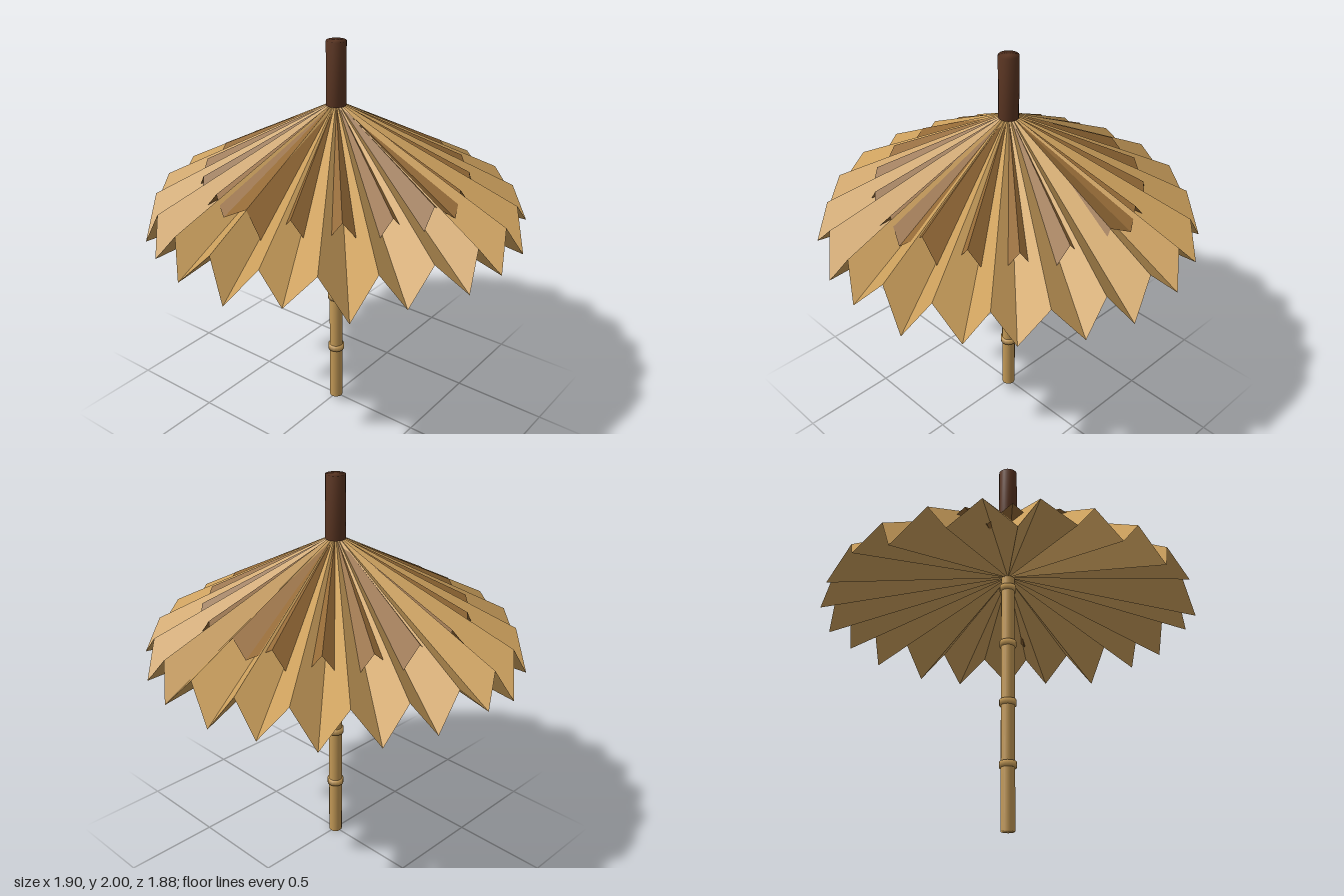
import * as THREE from 'three';
import { mergeVertices } from 'three/addons/utils/BufferGeometryUtils.js';

const mat = (name, color) => {
  const m = new THREE.MeshStandardMaterial({ color });
  m.name = name;
  return m;
};

// Cylinder with normals blended over its rims
function softCylinder(radius, height) {
  const g = new THREE.CylinderGeometry(radius, radius, height, 16);
  g.deleteAttribute('normal');
  g.deleteAttribute('uv');
  const merged = mergeVertices(g);
  merged.computeVertexNormals();
  return merged;
}

// Closed pleated cone: ridges at half steps, drooping tips at whole steps.
// shifts are tip angle changes in degrees, tipY the tip heights.
function pleatedCone({ count, apexY, underY, ridgeR, ridgeY, tipR, tipY, shifts = [] }) {
  const rim = [];
  const step = 360 / count;
  const at = (deg, r, y) => {
    const a = THREE.MathUtils.degToRad(deg);
    return [Math.cos(a) * r, y, Math.sin(a) * r];
  };
  for (let i = 0; i < count; i++) {
    rim.push(at(i * step + (shifts[i] || 0), tipR, tipY[i]));
    rim.push(at((i + 0.5) * step, ridgeR, ridgeY));
  }
  const pos = [];
  rim.forEach((p, i) => {
    const next = rim[(i + 1) % rim.length];
    pos.push(0, apexY, 0, ...next, ...p);
    pos.push(0, underY, 0, ...p, ...next);
  });
  const g = new THREE.BufferGeometry();
  g.setAttribute('position', new THREE.Float32BufferAttribute(pos, 3));
  g.computeVertexNormals();
  return g;
}

export function createModel() {
  const group = new THREE.Group();
  group.name = 'thatchedParasol';

  const straw = mat('straw', 0xcb9f5c);
  const darkStraw = mat('dark straw', 0x936936);
  const bamboo = mat('bamboo', 0xc49a57);
  const darkWood = mat('dark wood', 0x5a3522);

  const add = (name, geometry, material, y = 0) => {
    const m = new THREE.Mesh(geometry, material);
    m.name = name;
    m.position.y = y;
    group.add(m);
  };

  // Bamboo pole with its nodes
  add('pole', softCylinder(0.035, 1.7), bamboo, 0.85);
  for (const y of [0.32, 0.637, 0.955, 1.272]) {
    add('poleNode', softCylinder(0.043, 0.03), bamboo, y);
  }

  // Wooden post top
  add('postTop', softCylinder(0.049, 0.31), darkWood, 1.845);

  // Outer thatch with its flatter underside
  add('outerThatch', pleatedCone({
    count: 22, apexY: 1.715, underY: 1.34, ridgeR: 0.89, ridgeY: 1.25, tipR: 0.95,
    tipY: [1.09, 1.085, 1.1, 1.06, 1.12, 1.065, 1.08, 1.1, 1.065, 1.08, 1.065,
      1.12, 1.1, 1.09, 1.08, 1.1, 1.09, 1.09, 1.1, 1.115, 1.11, 1.065],
    shifts: [1, -1.4, 1.3, -0.1, 0.5, 1.2, 1.8, -0.9, -1.5, 0.7, 1.4,
      0, 1.3, 0.3, 0.2, -0.1, -1.5, 0.8, -0.5, 1.1, -1.3, -0.1],
  }), straw);

  // Inner thatch showing through the pleats
  const innerTips = new Array(18).fill(1.245);
  innerTips[0] = 1.29;
  innerTips[5] = innerTips[13] = 1.315;
  innerTips[10] = 1.285;
  add('innerThatch', pleatedCone({
    count: 18, apexY: 1.711, underY: 1.44, ridgeR: 0.65, ridgeY: 1.378, tipR: 0.685,
    tipY: innerTips,
  }), darkStraw);

  return group;
}
